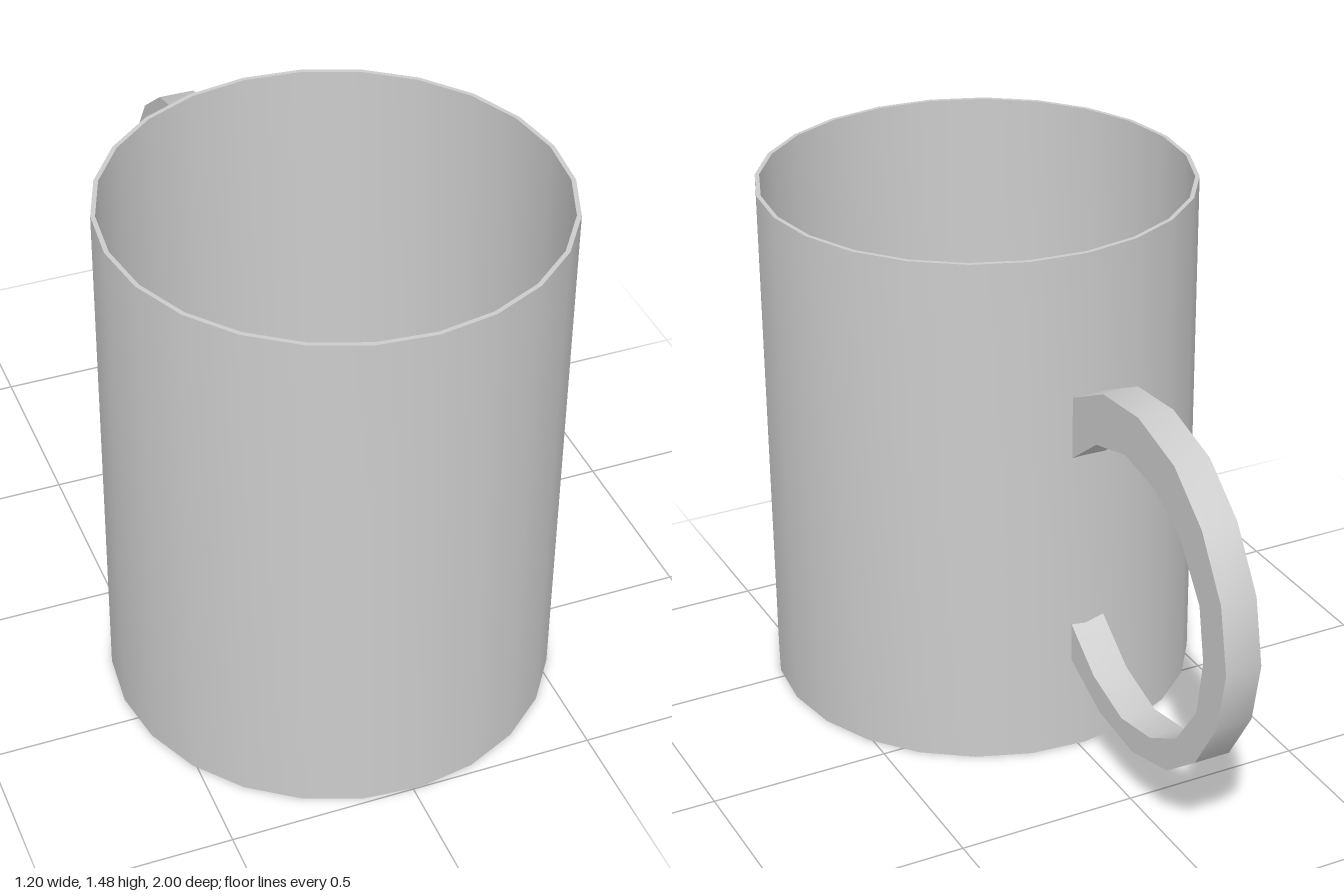
import * as THREE from 'three';
import { toCreasedNormals } from 'three/addons/utils/BufferGeometryUtils.js';

const RADIUS = 0.6, WALL = 0.012, HEIGHT = 1.475, CUP_Z = 0.4;
const v = ([x, y]) => new THREE.Vector2(x, y);

// Hollow 24-sided cup: base, outer wall, rim, inner wall, floor
function makeCup(material) {
  const inner = RADIUS - WALL;
  const profile = [
    [0, 0], [RADIUS, 0], [RADIUS, HEIGHT],
    [inner, HEIGHT], [inner, WALL], [0, WALL],
  ].map(v);
  const lathe = new THREE.LatheGeometry(profile, 24, THREE.MathUtils.degToRad(2));
  const cup = new THREE.Mesh(toCreasedNormals(lathe, 0.6), material);
  cup.name = 'cup';
  cup.position.z = CUP_Z;
  return cup;
}

// Flat C-shaped handle, drawn as (distance behind centre, height) and extruded sideways
function makeHandle(material) {
  const outer = [
    [0.19, 1.07], [0.36, 1.155], [0.543, 1.17], [0.725, 1.12], [0.864, 1.01], [0.965, 0.85], [1, 0.67],
    [0.965, 0.497], [0.864, 0.337], [0.725, 0.23], [0.543, 0.18], [0.36, 0.2], [0.19, 0.278],
  ];
  const inner = [
    [0.19, 0.892], [0.325, 0.995], [0.48, 1.037], [0.634, 1.01], [0.767, 0.93], [0.864, 0.797], [0.89, 0.647],
    [0.864, 0.487], [0.767, 0.353], [0.634, 0.278], [0.48, 0.25], [0.325, 0.294], [0.19, 0.392],
  ];
  const shape = new THREE.Shape([...outer, ...inner.reverse()].map(v));
  const geometry = new THREE.ExtrudeGeometry(shape, { depth: 0.1, bevelEnabled: false });
  geometry.rotateY(Math.PI / 2).translate(-0.08, 0, 0);
  const handle = new THREE.Mesh(toCreasedNormals(geometry, 0.7), material);
  handle.name = 'handle';
  return handle;
}

export function createModel() {
  const material = new THREE.MeshStandardMaterial({ color: 0xcccccc });
  const mug = new THREE.Group();
  mug.name = 'mug';
  mug.add(makeCup(material), makeHandle(material));
  return mug;
}
